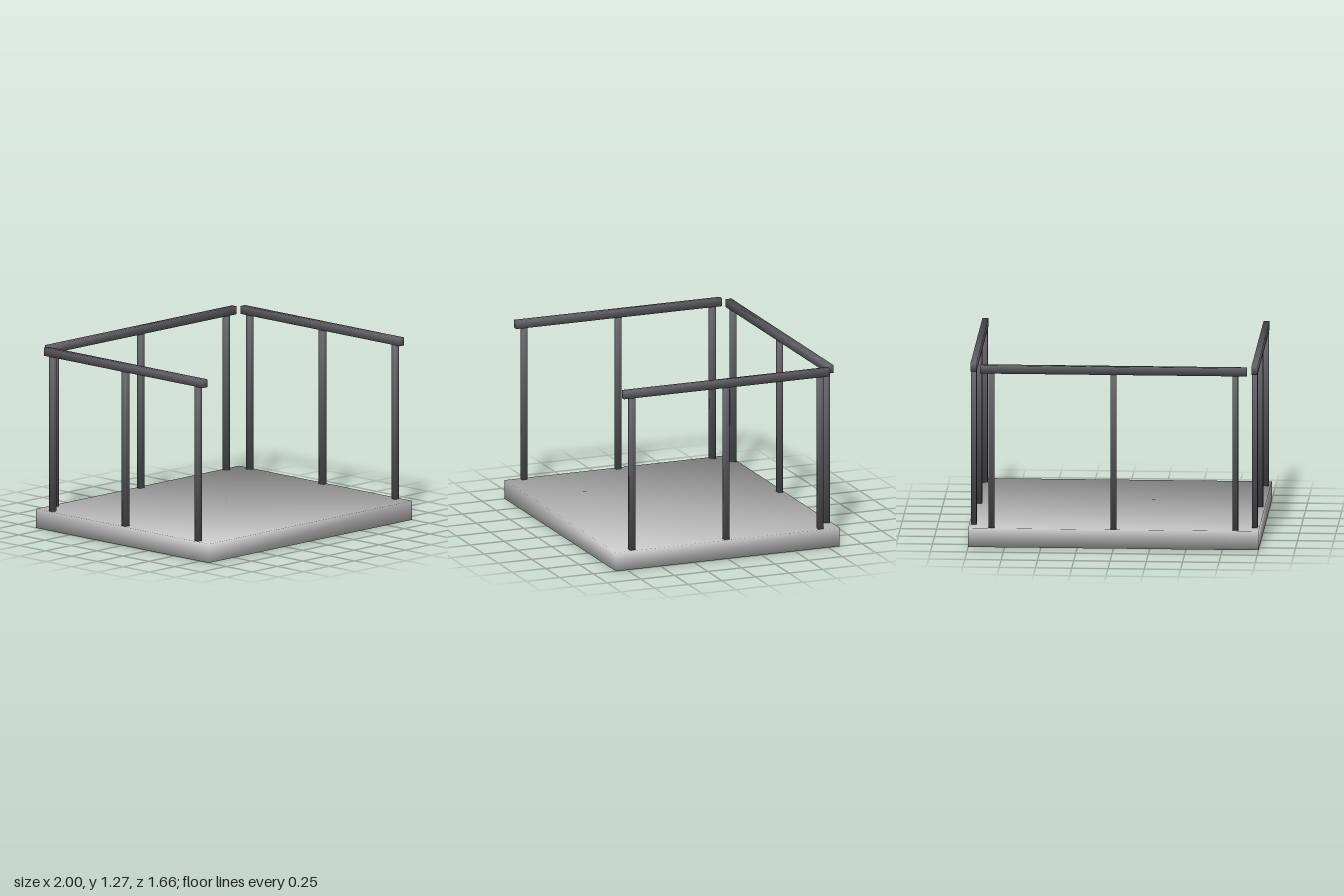
import * as THREE from 'three';

const DECK_TOP = 0.133, RAIL_BOTTOM = 1.218, RAIL_TOP = 1.274;

const deckMaterial = new THREE.MeshStandardMaterial({ color: 0xcccccc });
const railMaterial = new THREE.MeshStandardMaterial({ color: 0x66666b });

// Box whose corners share one averaged normal, for soft shading across the edges
function softBox(name, material, width, y0, y1, depth, x = 0, z = 0) {
  const geometry = new THREE.BoxGeometry(width, y1 - y0, depth);
  const { position, normal } = geometry.attributes;
  const k = 1 / Math.sqrt(3);
  for (let i = 0; i < position.count; i++) {
    normal.setXYZ(i,
      Math.sign(position.getX(i)) * k,
      Math.sign(position.getY(i)) * k,
      Math.sign(position.getZ(i)) * k);
  }
  const mesh = new THREE.Mesh(geometry, material);
  mesh.name = name;
  mesh.position.set(x, (y0 + y1) / 2, z);
  return mesh;
}

// Handrail along x, carried by three evenly spaced posts
function railing(name, length, postSpacing) {
  const group = new THREE.Group();
  group.name = name;
  group.add(softBox('handrail', railMaterial, length, RAIL_BOTTOM, RAIL_TOP, 0.042));
  for (const i of [-1, 0, 1]) {
    group.add(softBox('post', railMaterial, 0.038, DECK_TOP, RAIL_BOTTOM, 0.038, i * postSpacing));
  }
  return group;
}

export function createModel() {
  const model = new THREE.Group();
  model.name = 'railedPlatform';

  // Platform slab
  model.add(softBox('platform', deckMaterial, 2, 0, DECK_TOP, 1.664));

  // Back railing
  const back = railing('backRailing', 1.836, 0.84);
  back.position.z = -0.801;
  model.add(back);

  // Side railings, front left open
  for (const side of [-1, 1]) {
    const rail = railing(side > 0 ? 'leftRailing' : 'rightRailing', 1.532, 0.7);
    rail.rotation.y = side * Math.PI / 2;
    rail.position.x = side * 0.968;
    model.add(rail);
  }
  return model;
}
